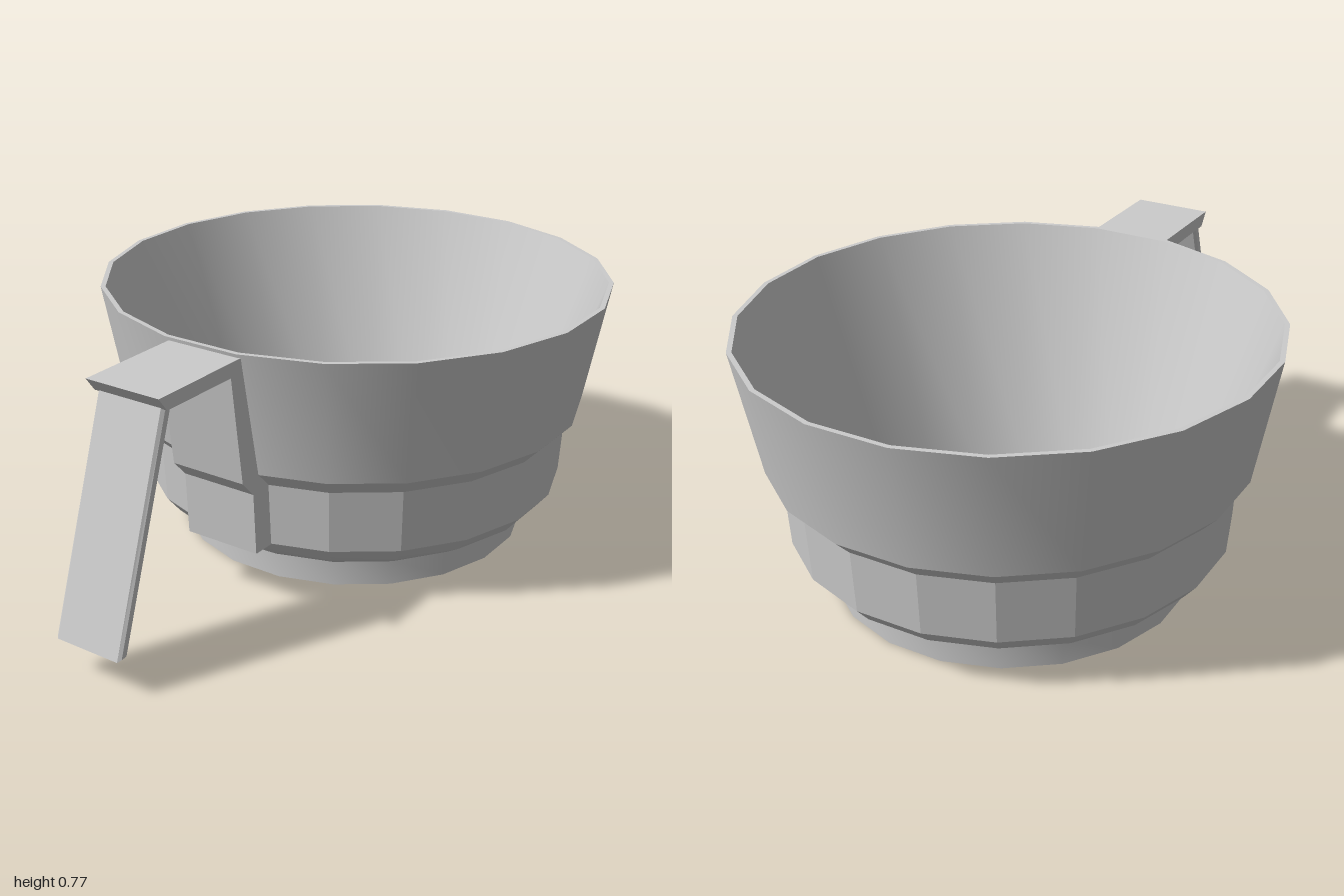
import * as THREE from 'three';
import { toCreasedNormals } from 'three/addons/utils/BufferGeometryUtils.js';

const SIDES = 20;
const BOWL_Z = -0.25;
const grey = new THREE.MeshStandardMaterial({ color: 0xcccccc });
const greyFlat = new THREE.MeshStandardMaterial({ color: 0xcccccc, flatShading: true });

// Turned band; profile radii are measured to the middle of each flat side
function turned(name, profile, material = grey) {
  const k = 1 / Math.cos(Math.PI / SIDES);
  const points = profile.map(([r, y]) => new THREE.Vector2(r * k, y));
  const geometry = new THREE.LatheGeometry(points, SIDES, Math.PI / SIDES);
  const mesh = new THREE.Mesh(toCreasedNormals(geometry, 0.33), material);
  mesh.name = name;
  mesh.position.z = BOWL_Z;
  return mesh;
}

// Side outline given as [z, y], extruded across x
function extruded(name, outline, width, bevel = 0) {
  const shape = new THREE.Shape(outline.map(([z, y]) => new THREE.Vector2(z, y)));
  const depth = width - 2 * bevel;
  const geometry = new THREE.ExtrudeGeometry(shape, {
    depth, bevelEnabled: bevel > 0, bevelSize: bevel, bevelThickness: bevel,
    bevelOffset: -bevel, bevelSegments: 1,
  });
  geometry.translate(0, 0, -depth / 2);
  geometry.rotateY(-Math.PI / 2);
  const mesh = new THREE.Mesh(geometry, greyFlat);
  mesh.name = name;
  mesh.position.x = 0.012;
  return mesh;
}

export function createModel() {
  const model = new THREE.Group();
  model.name = 'handledBowl';

  // Bowl: foot, stepped outside, rim and conical inside
  const bowl = new THREE.Group();
  bowl.name = 'bowl';
  bowl.add(
    turned('foot', [[0, 0], [0.52, 0], [0.52, 0.078]]),
    turned('lowerChamfer', [[0.52, 0.078], [0.535, 0.082], [0.59, 0.118], [0.628, 0.165]]),
    turned('belt', [[0.628, 0.165], [0.638, 0.352]], greyFlat),
    turned('upperWall', [[0.638, 0.352], [0.682, 0.4], [0.749, 0.77], [0.735, 0.77]]),
    turned('inside', [[0.735, 0.77], [0.483, 0.08], [0, 0.08]]),
  );

  // Handle: strap following the bowl wall, flat top and slanted grip
  const handle = new THREE.Group();
  handle.name = 'handle';
  handle.add(
    extruded('strapAndTop', [
      [0.49, 0.76], [0.425, 0.4], [0.38, 0.355], [0.37, 0.165], [0.44, 0.165],
      [0.449, 0.35], [0.495, 0.4], [0.536, 0.718], [0.79, 0.718], [0.82, 0.758],
    ], 0.236),
    extruded('grip', [[0.758, 0.722], [0.792, 0.722], [1.0, 0.103], [0.967, 0.103]], 0.216, 0.008),
  );

  model.add(bowl, handle);
  return model;
}
